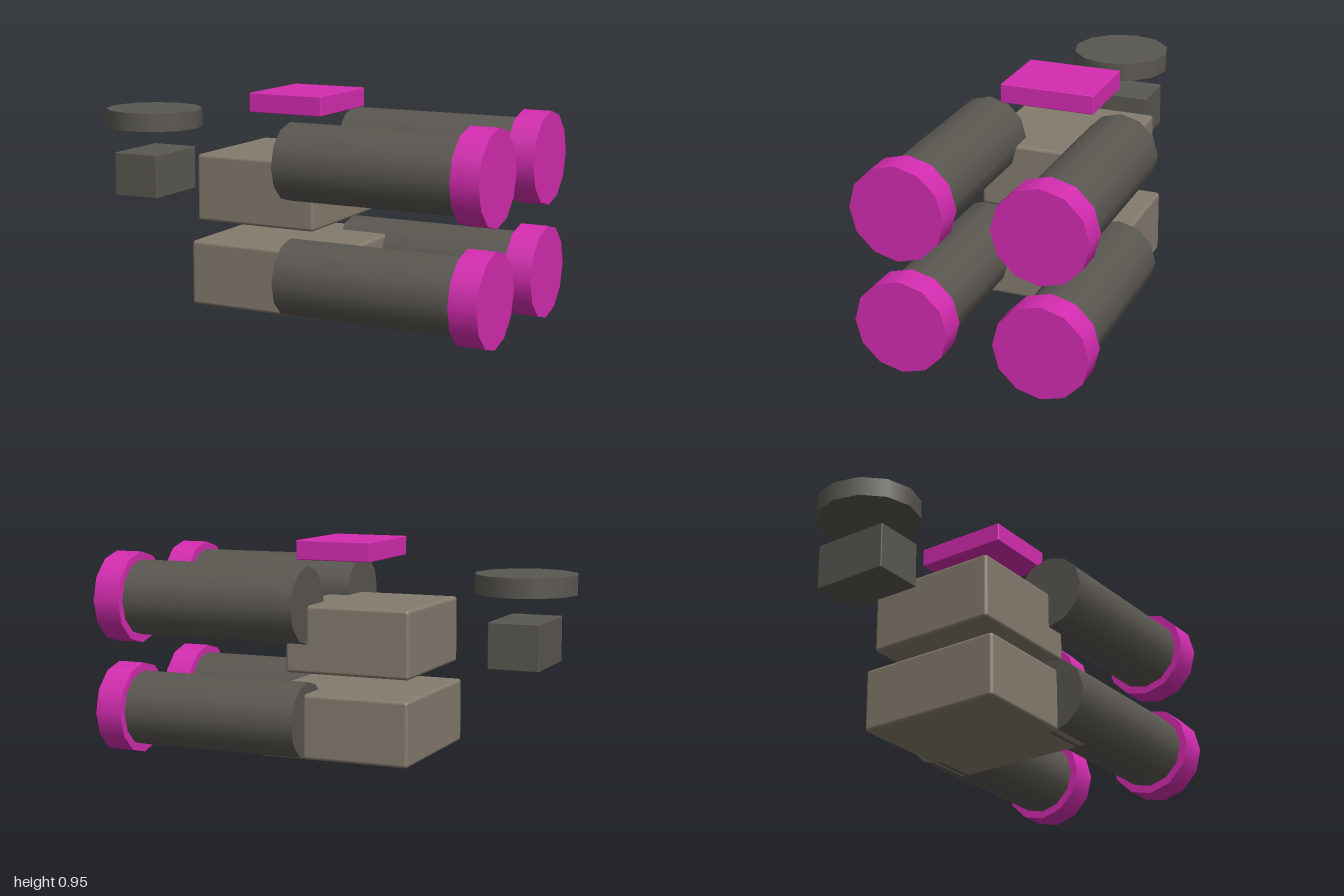
import * as THREE from 'three';
import { RoundedBoxGeometry } from 'three/addons/geometries/RoundedBoxGeometry.js';

const material = (name, color) => {
  const m = new THREE.MeshStandardMaterial({ color });
  m.name = name;
  return m;
};

export function createModel() {
  const model = new THREE.Group();
  const taupe = material('taupe', 0x857b6e);
  const charcoal = material('charcoal', 0x5a5751);
  const magenta = material('magenta', 0xd42cb0);

  const add = (name, geometry, mat, x, y, z, parent = model) => {
    const mesh = new THREE.Mesh(geometry, mat);
    mesh.name = name;
    mesh.position.set(x, y, z);
    parent.add(mesh);
    return mesh;
  };
  const box = (w, h, d, bevel) => new RoundedBoxGeometry(w, h, d, 2, bevel);

  // Stacked body blocks
  add('lowerBody', box(0.68, 0.28, 0.66, 0.015), taupe, -0.045, 0.18, 0);
  add('upperBody', box(0.56, 0.29, 0.59, 0.015), taupe, -0.095, 0.547, 0);

  // Four twelve-sided barrels, each with a wider end cap, lying along x
  const barrel = new THREE.CylinderGeometry(0.165, 0.165, 0.8, 12).rotateZ(-Math.PI / 2);
  const cap = new THREE.CylinderGeometry(0.2, 0.2, 0.122, 12).rotateZ(-Math.PI / 2);
  for (const y of [0.203, 0.693]) {
    for (const z of [-0.296, 0.296]) {
      const thruster = new THREE.Group();
      thruster.name = (y > 0.5 ? 'upper' : 'lower') + (z > 0 ? 'Front' : 'Back') + 'Thruster';
      thruster.position.set(0, y, z);
      model.add(thruster);
      add('barrel', barrel, charcoal, 0.48, 0, 0, thruster);
      add('endCap', cap, magenta, 0.939, 0, 0, thruster);
    }
  }

  // Floating plate above the body
  add('topPlate', box(0.34, 0.083, 0.414, 0.004), magenta, 0.004, 0.916, 0);

  // Separate block and disc at the far end
  add('sensorBlock', box(0.22, 0.195, 0.33, 0.004), charcoal, -0.78, 0.548, 0);
  const disc = new THREE.CylinderGeometry(0.218, 0.218, 0.082, 12);
  add('sensorDisc', disc, charcoal, -0.782, 0.794, 0);

  return model;
}
